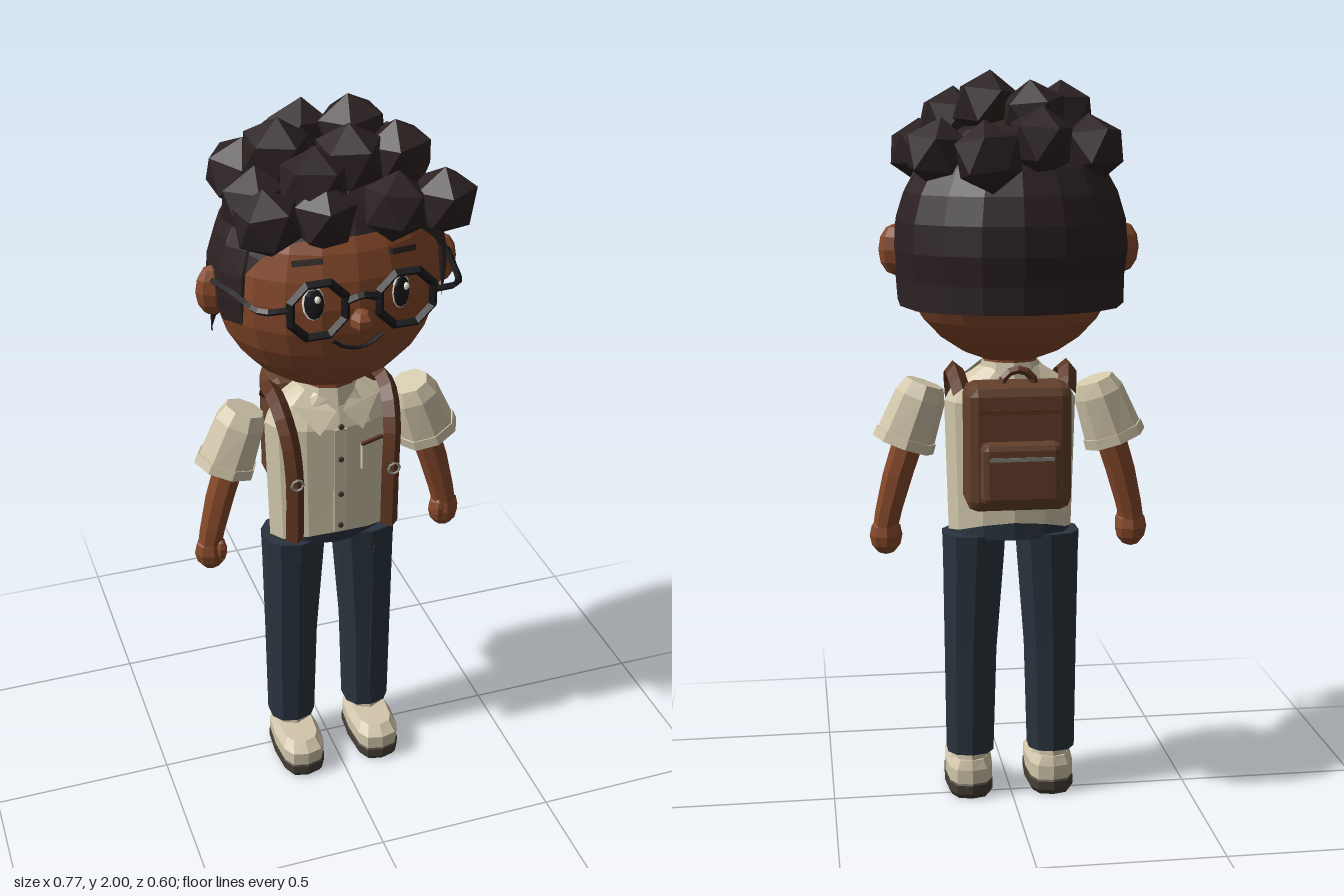
import * as THREE from 'three';
import { RoundedBoxGeometry } from 'three/addons/geometries/RoundedBoxGeometry.js';

const mat = (name, color, side = THREE.FrontSide) =>
  new THREE.MeshStandardMaterial({ name, color, side, flatShading: true });

// Stack of horizontal rings [y, cx, cz, rx, rz]; pow < 1 squares the outline.
function loft(rings, n = 10, pow = 1) {
  const pos = [], idx = [];
  const bend = v => Math.sign(v) * Math.pow(Math.abs(v), pow);
  for (const [y, cx, cz, rx, rz] of rings)
    for (let i = 0; i < n; i++) {
      const a = (i / n) * Math.PI * 2;
      pos.push(cx + rx * bend(Math.sin(a)), y, cz + rz * bend(Math.cos(a)));
    }
  for (let r = 0; r < rings.length - 1; r++)
    for (let i = 0; i < n; i++) {
      const a = r * n + i, b = r * n + (i + 1) % n;
      idx.push(a, b, b + n, a, b + n, a + n);
    }
  const top = (rings.length - 1) * n;
  for (let i = 1; i < n - 1; i++) idx.push(0, i + 1, i, top, top + i, top + i + 1);
  return finish(pos, idx);
}

function finish(pos, idx) {
  const g = new THREE.BufferGeometry();
  g.setAttribute('position', new THREE.Float32BufferAttribute(pos, 3));
  g.setIndex(idx);
  const out = g.toNonIndexed();
  out.computeVertexNormals();
  return out;
}

const V = (x, y, z) => new THREE.Vector3(x, y, z);
const HEAD = V(0, 1.55, 0.005), HR = V(0.3, 0.315, 0.25);

// Hair shell: each column runs from the crown to its own lower edge.
function hairShell() {
  const half = [[0, 1.39], [20, 1.39], [40, 1.39], [60, 1.39], [80, 1.395], [88, 1.41], [89, 1.5],
    [104, 1.5], [105, 1.48], [121, 1.49], [123, 1.63], [130, 1.67], [140, 1.71], [160, 1.73], [180, 1.73]];
  const cols = [...half.slice(1).reverse().map(([a, y]) => [-a, y]), ...half];
  const rows = 9, pos = [], idx = [];
  for (const [deg, yEnd] of cols) {
    const a = deg * Math.PI / 180, end = Math.acos((yEnd - 1.55) / 0.335);
    for (let r = 0; r <= rows; r++) {
      const t = end * r / rows;
      const s = t > Math.PI / 2 ? Math.max(Math.sin(t), 0.97) : Math.sin(t);
      pos.push(-0.313 * s * Math.sin(a), 1.55 + 0.335 * Math.cos(t), -0.268 * s * Math.cos(a));
    }
  }
  for (let c = 0; c < cols.length - 1; c++)
    for (let r = 0; r < rows; r++) {
      const a = c * (rows + 1) + r, b = a + rows + 1;
      idx.push(a, a + 1, b + 1, a, b + 1, b);
    }
  return finish(pos, idx);
}

export function createModel() {
  const model = new THREE.Group();
  model.name = 'schoolBoy';
  const D = THREE.DoubleSide;
  const skin = mat('skin', 0x86492a), hair = mat('hair', 0x2c2122, D), shirt = mat('shirt', 0xd3c8ac, D);
  const navy = mat('trousers', 0x2a343f), leather = mat('backpack leather', 0x64402b);
  const strapMat = mat('strap leather', 0x5c3420), black = mat('black', 0x18171a);
  const sole = mat('sole', 0x453e35), white = mat('white', 0xeee8dc), grey = mat('metal', 0x85827c);

  const add = (name, geo, material, x = 0, y = 0, z = 0) => {
    const m = new THREE.Mesh(geo, material);
    m.name = name;
    m.position.set(x, y, z);
    model.add(m);
    return m;
  };
  const ball = (name, material, x, y, z, rx, ry, rz, w = 8, h = 6) => {
    const m = add(name, new THREE.SphereGeometry(1, w, h), material, x, y, z);
    m.scale.set(rx, ry, rz);
    return m;
  };
  const faceZ = (x, y) => HEAD.z + HR.z * Math.sqrt(1 - (x / HR.x) ** 2 - ((y - HEAD.y) / HR.y) ** 2);
  // Sets a part on the face, turned to the surface.
  const onFace = (m, x, y, off) => {
    const p = V(x, y, faceZ(x, y));
    const n = p.clone().sub(HEAD).divide(HR).divide(HR).normalize();
    m.position.copy(p).addScaledVector(n, off);
    m.lookAt(m.position.clone().add(n));
  };
  const tube = (name, pts, r, material, seg = 10, sides = 4) =>
    add(name, new THREE.TubeGeometry(new THREE.CatmullRomCurve3(pts), seg, r, sides), material);

  // Head, nose, mouth
  ball('head', skin, HEAD.x, HEAD.y, HEAD.z, HR.x, HR.y, HR.z, 20, 14);
  ball('nose', skin, 0, 1.523, 0.268, 0.03, 0.032, 0.035, 6, 5);
  tube('mouth', [-0.065, -0.035, 0, 0.035, 0.065].map(x => {
    const y = 1.437 + 7 * x * x;
    return V(x, y, faceZ(x, y) + 0.002);
  }), 0.005, black, 10, 5);
  add('neck', loft([[1.17, 0, 0.01, 0.075, 0.07], [1.3, 0, 0.01, 0.07, 0.065]], 10), skin);

  // Hair shell and faceted curls
  add('hairShell', hairShell(), hair);
  const curls = [[0.065, 1.91, 0], [-0.14, 1.885, 0.03], [-0.05, 1.885, -0.07], [0.02, 1.88, 0.11],
    [0.15, 1.87, 0.1], [-0.09, 1.85, 0.17], [-0.2, 1.8, -0.09], [0.2, 1.79, -0.09], [-0.05, 1.82, -0.18],
    [0.085, 1.785, -0.22], [-0.22, 1.8, 0.12], [-0.22, 1.79, 0.22], [-0.08, 1.79, 0.22],
    [0.1, 1.79, 0.22], [0.225, 1.79, 0.22]];
  curls.forEach(([x, y, z], i) => {
    const g = new THREE.IcosahedronGeometry(i < 11 ? 0.093 : 0.088, 0);
    g.rotateZ(0.5536).rotateY(i * 1.9).rotateX(0.12 * Math.sin(i * 2.3)).rotateZ(0.12 * Math.cos(i * 1.7));
    add('curl', g, hair, x, y, z);
  });

  // Shirt with a curved hem
  const body = loft([[0.77, 0, 0.015, 0.17, 0.1], [0.95, 0, 0.015, 0.175, 0.1], [1.13, 0, 0.015, 0.18, 0.1],
    [1.185, 0, 0.012, 0.15, 0.085], [1.225, 0, 0.01, 0.085, 0.075]], 12);
  const bp = body.attributes.position;
  for (let i = 0; i < bp.count; i++)
    if (bp.getY(i) < 0.78) bp.setY(i, 0.77 + 0.035 * (1 - (bp.getX(i) / 0.17) ** 2));
  body.computeVertexNormals();
  add('shirtBody', body, shirt);
  add('shirtPlacket', new THREE.BoxGeometry(0.035, 0.32, 0.008), shirt, 0, 0.97, 0.114);
  for (const y of [1.14, 1.04, 0.93, 0.83])
    add('button', new THREE.CylinderGeometry(0.008, 0.008, 0.008, 6).rotateX(Math.PI / 2), sole, 0, y, 0.121);
  add('chestPocket', new THREE.BoxGeometry(0.07, 0.08, 0.008), shirt, 0.093, 1.035, 0.102).rotation.y = 0.35;
  add('pocketTrim', new THREE.BoxGeometry(0.07, 0.008, 0.009), strapMat, 0.093, 1.073, 0.104).rotation.y = 0.35;
  add('collarBand', new THREE.CylinderGeometry(0.078, 0.088, 0.05, 10, 1, true), shirt, 0, 1.215, 0.01);

  // Waist
  add('waist', loft([[0.755, 0, 0.005, 0.165, 0.085], [0.82, 0, 0.01, 0.16, 0.088]], 12), navy);

  // Paired parts
  for (const s of [1, -1]) {
    const side = s > 0 ? 'left' : 'right';
    ball(side + 'Ear', skin, s * 0.308, 1.538, 0.015, 0.043, 0.068, 0.036, 8, 6);

    // Eye, brow and glasses
    const disc = (name, material, r, ry, x, y, off) => {
      const m = ball(side + name, material, 0, 0, 0, r, ry, 0.008, 12, 6);
      onFace(m, x, y, off);
    };
    disc('EyeWhite', white, 0.028, 0.046, s * 0.113, 1.573, 0);
    disc('Pupil', black, 0.025, 0.041, s * 0.111, 1.573, 0.005);
    disc('EyeGlint', white, 0.008, 0.01, s * 0.111 + 0.008, 1.586, 0.012);
    const brow = add(side + 'Brow', new THREE.BoxGeometry(0.075, 0.014, 0.014), hair);
    onFace(brow, s * 0.12, 1.672, 0.006);
    brow.rotateZ(-s * 0.12);
    add(side + 'GlassesRim', new THREE.TorusGeometry(0.075, 0.012, 4, 8).rotateZ(Math.PI / 8), black, s * 0.113, 1.572, 0.274);
    tube(side + 'GlassesArm', [V(s * 0.188, 1.583, 0.272), V(s * 0.25, 1.583, 0.262), V(s * 0.285, 1.583, 0.15),
      V(s * 0.312, 1.575, 0.04)], 0.009, black, 12);

    // Collar flap
    const c = [[0.008, 1.18, 0.107], [0.07, 1.238, 0.05], [0.12, 1.195, 0.07], [0.06, 1.125, 0.125]];
    add(side + 'CollarFlap', finish(c.flatMap(([x, y, z]) => [s * x, y, z]),
      s > 0 ? [0, 2, 1, 0, 3, 2] : [0, 1, 2, 0, 2, 3]), shirt);

    // Sleeve, cuff, arm and hand
    const sleeve = add(side + 'Sleeve', loft([[-0.085, 0, 0, 0.083, 0.075], [0.05, 0, 0, 0.07, 0.07],
      [0.09, 0, 0, 0.053, 0.055]], 8), shirt, s * 0.262, 1.095, 0.012);
    sleeve.rotation.z = s * 0.35;
    const cuff = add(side + 'Cuff', loft([[-0.09, 0, 0, 0.087, 0.079], [-0.062, 0, 0, 0.085, 0.077]], 8),
      shirt, s * 0.262, 1.095, 0.012);
    cuff.rotation.z = s * 0.35;
    add(side + 'Arm', loft([[0.77, s * 0.345, 0.022, 0.034, 0.032], [0.83, s * 0.333, 0.02, 0.037, 0.036],
      [0.93, s * 0.307, 0.016, 0.042, 0.041], [1.06, s * 0.265, 0.012, 0.045, 0.044]], 8), skin);
    ball(side + 'Hand', skin, s * 0.342, 0.757, 0.022, 0.045, 0.055, 0.038, 8, 6);
    ball(side + 'Thumb', skin, s * 0.318, 0.768, 0.048, 0.016, 0.032, 0.018, 6, 5);

    // Trouser leg, sock and shoe
    add(side + 'TrouserLeg', loft([[0.13, s * 0.115, 0.01, 0.067, 0.065], [0.43, s * 0.112, 0.01, 0.073, 0.07],
      [0.7, s * 0.103, 0.008, 0.085, 0.08], [0.765, s * 0.102, 0.008, 0.088, 0.083]], 10, 0.85), navy);
    add(side + 'TrouserCrease', new THREE.BoxGeometry(0.006, 0.55, 0.008), navy, s * 0.11, 0.44, 0.081).rotation.x = 0.025;
    add(side + 'Sock', loft([[0.09, s * 0.115, 0.01, 0.055, 0.06], [0.14, s * 0.115, 0.01, 0.05, 0.055]], 8), shirt);
    add(side + 'ShoeUpper', loft([[0.045, s * 0.115, 0.06, 0.065, 0.118], [0.085, s * 0.115, 0.06, 0.066, 0.118],
      [0.112, s * 0.115, 0.05, 0.05, 0.1]], 12, 0.65), shirt);
    add(side + 'ShoeSole', loft([[0, s * 0.115, 0.06, 0.058, 0.112], [0.015, s * 0.115, 0.06, 0.067, 0.121],
      [0.04, s * 0.115, 0.06, 0.067, 0.121], [0.05, s * 0.115, 0.06, 0.06, 0.114]], 12, 0.65), sole);

    // Shoulder strap and its ring
    tube(side + 'Strap', [V(s * 0.135, 0.82, 0.133), V(s * 0.135, 1.02, 0.137), V(s * 0.143, 1.13, 0.12),
      V(s * 0.152, 1.2, 0.06), V(s * 0.152, 1.21, -0.02), V(s * 0.14, 1.16, -0.08)], 0.025, strapMat, 14);
    add(side + 'StrapRing', new THREE.TorusGeometry(0.016, 0.004, 4, 8), grey, s * 0.135, 1.01, 0.163);
  }
  tube('glassesBridge', [V(-0.04, 1.585, 0.274), V(0, 1.598, 0.28), V(0.04, 1.585, 0.274)], 0.01, black, 6);

  // Backpack
  add('backpack', new RoundedBoxGeometry(0.28, 0.34, 0.135, 1, 0.03), leather, 0, 1.03, -0.123);
  add('backpackPocket', new RoundedBoxGeometry(0.21, 0.165, 0.065, 1, 0.018), leather, 0, 0.97, -0.197);
  add('pocketZip', new THREE.BoxGeometry(0.17, 0.01, 0.008), grey, 0, 1.012, -0.229);
  add('backpackSeam', new THREE.BoxGeometry(0.22, 0.012, 0.008), strapMat, 0, 1.13, -0.19);
  add('backpackHandle', new THREE.TorusGeometry(0.045, 0.011, 4, 6, Math.PI), strapMat, 0, 1.19, -0.145);
  return model;
}
